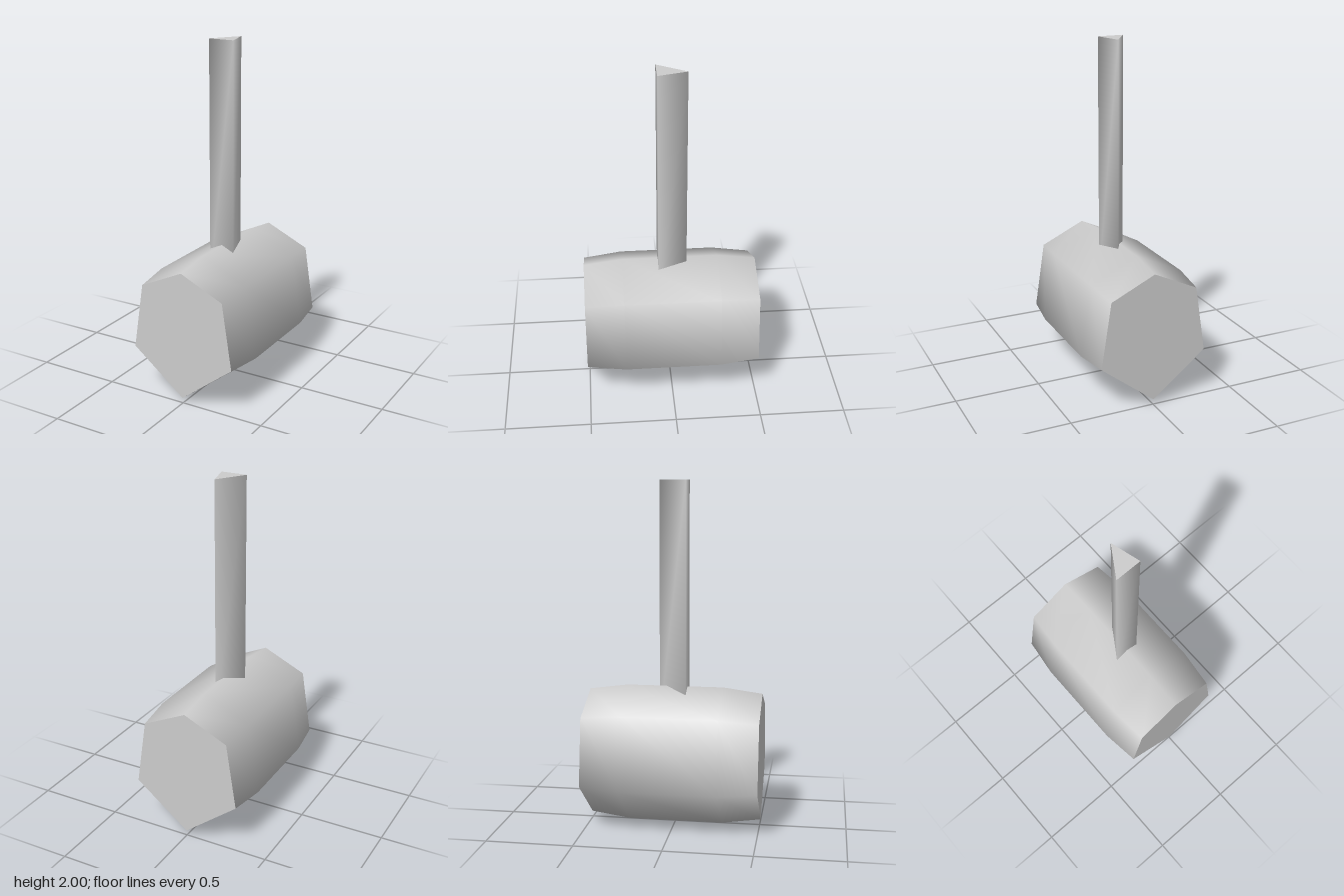
import * as THREE from 'three';

// Skin a list of rings (counter-clockwise about the axis) with smooth sides and flat caps.
function loft(rings) {
  const n = rings[0].length;
  const pos = rings.flat(2);
  const index = [];
  for (let i = 0; i < rings.length - 1; i++) {
    for (let j = 0; j < n; j++) {
      const k = (j + 1) % n;
      const a = i * n + j, b = i * n + k, c = b + n, d = a + n;
      index.push(a, b, c, a, c, d);
    }
  }
  // Caps get their own vertices so their rims stay sharp
  const start = rings.length * n, end = start + n;
  pos.push(...rings[0].flat(), ...rings[rings.length - 1].flat());
  for (let j = 1; j < n - 1; j++) {
    index.push(start, start + j + 1, start + j);
    index.push(end, end + j, end + j + 1);
  }
  const geometry = new THREE.BufferGeometry();
  geometry.setAttribute('position', new THREE.Float32BufferAttribute(pos, 3));
  geometry.setIndex(index);
  geometry.computeVertexNormals();
  return geometry;
}

export function createModel() {
  const grey = new THREE.MeshStandardMaterial({ color: 0xcccccc });
  grey.name = 'grey';
  const group = new THREE.Group();
  group.name = 'mallet';

  const add = (name, geometry) => {
    const mesh = new THREE.Mesh(geometry, grey);
    mesh.name = name;
    group.add(mesh);
  };

  // Head: six-sided barrel along z, tapering toward both ends
  const outer = [[0, 0.82], [-0.28, 0.69], [-0.344, 0.273], [0, 0.004], [0.344, 0.273], [0.28, 0.69]];
  const centreY = 0.43;
  const sections = [[-0.505, 0.923], [-0.28, 1], [0.28, 1], [0.505, 0.923]];
  add('head', loft(sections.map(([z, s]) =>
    outer.map(([x, y]) => [x * s, centreY + (y - centreY) * s, z]))));

  // Handle: three-sided shaft rising from inside the head
  const triangle = [[-0.078, 0.07], [0.075, 0.07], [0.029, -0.097]];
  add('handle', loft([0.6, 2].map((y) => triangle.map(([x, z]) => [x, y, z]))));

  // Stand exactly on the ground
  group.children.forEach((m) => m.geometry.translate(0, m.name === 'head' ? -0.004 + 0.004 : 0, 0));
  return group;
}
